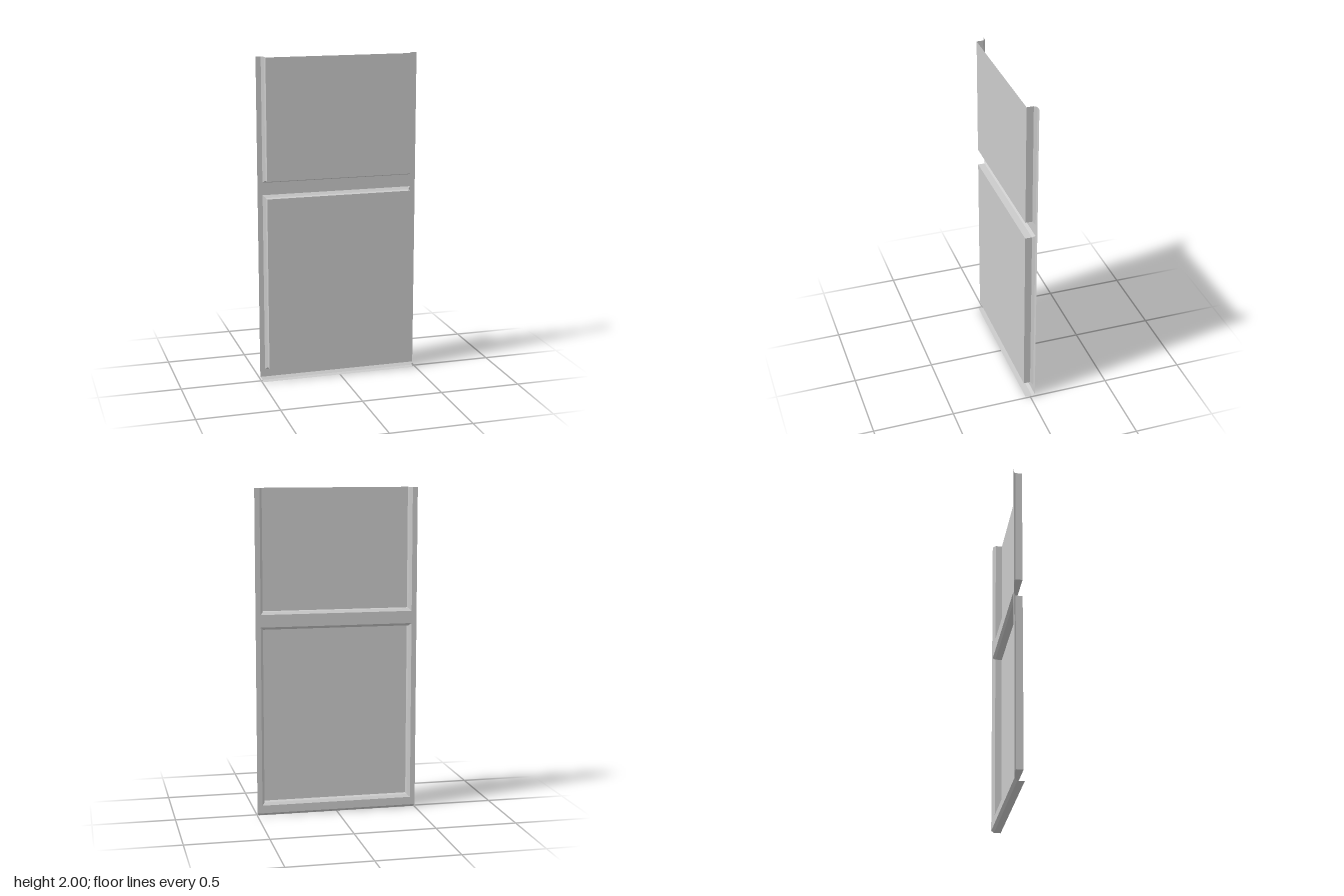
import * as THREE from 'three';

const BACK = -0.0285, STEP = -0.013, FRONT = 0.0285; // frame plane, end of bevel, panel face
const BEVEL = 0.0155;
const TOP = 2, HALF = 0.5, OPENING = 0.469;

const material = new THREE.MeshStandardMaterial({
  color: 0xcccccc, flatShading: true, side: THREE.DoubleSide,
});

function addMesh(group, name, geometry) {
  geometry.computeVertexNormals();
  const mesh = new THREE.Mesh(geometry, material);
  mesh.name = name;
  group.add(mesh);
}

// Skin a row of cross-sections, each a list of [x, y, z] points
function loft(sections) {
  const n = sections[0].length, index = [];
  for (let s = 0; s < sections.length - 1; s++) {
    for (let i = 0; i < n - 1; i++) {
      const a = s * n + i, b = a + 1, c = a + n, d = c + 1;
      index.push(a, b, d, a, d, c);
    }
  }
  const geometry = new THREE.BufferGeometry();
  geometry.setAttribute('position', new THREE.Float32BufferAttribute(sections.flat(2), 3));
  geometry.setIndex(index);
  return geometry;
}

// Raised pressed panel: bevel, straight wall and flat face; openTop leaves the upper edge unfolded
function raisedPanel(name, bottom, top, openTop) {
  const group = new THREE.Group();
  group.name = name;
  const ring = (inset, z) => {
    const x = OPENING - inset, y0 = bottom + inset, y1 = openTop ? top : top - inset;
    const points = [[-x, y1, z], [-x, y0, z], [x, y0, z], [x, y1, z]];
    if (!openTop) points.push([-x, y1, z]);
    return points;
  };
  addMesh(group, name + 'Sides', loft([ring(0, BACK), ring(BEVEL, STEP), ring(BEVEL, FRONT)]));
  const y0 = bottom + BEVEL, y1 = openTop ? top : top - BEVEL;
  const face = new THREE.PlaneGeometry(2 * (OPENING - BEVEL), y1 - y0);
  face.translate(0, (y0 + y1) / 2, FRONT);
  addMesh(group, name + 'Face', face);
  return group;
}

export function createModel() {
  const model = new THREE.Group();
  model.name = 'pressedDoorSkin';
  const sill = BEVEL, lowerBottom = 0.064, lowerTop = 1.169, upperBottom = 1.245;

  // Flat frame: notched at the top for the upper panel, cut out for the lower one
  const outline = new THREE.Shape([
    [-HALF, sill], [HALF, sill], [HALF, TOP], [OPENING, TOP],
    [OPENING, upperBottom], [-OPENING, upperBottom], [-OPENING, TOP], [-HALF, TOP],
  ].map(([x, y]) => new THREE.Vector2(x, y)));
  outline.holes.push(new THREE.Path([
    [-OPENING, lowerBottom], [-OPENING, lowerTop], [OPENING, lowerTop], [OPENING, lowerBottom],
  ].map(([x, y]) => new THREE.Vector2(x, y))));
  const frame = new THREE.ShapeGeometry(outline);
  frame.translate(0, 0, BACK);
  addMesh(model, 'frame', frame);

  model.add(raisedPanel('lowerPanel', lowerBottom, lowerTop, false));
  model.add(raisedPanel('upperPanel', upperBottom, TOP, true));

  // Folded lip along the bottom edge, narrowing at its ends
  const strip = (x, y, z) => [[x, y, z], [-x, y, z]];
  addMesh(model, 'bottomLip', loft([
    strip(0.49, 0, FRONT), strip(0.49, 0, STEP), strip(HALF, sill, BACK),
  ]));
  return model;
}
